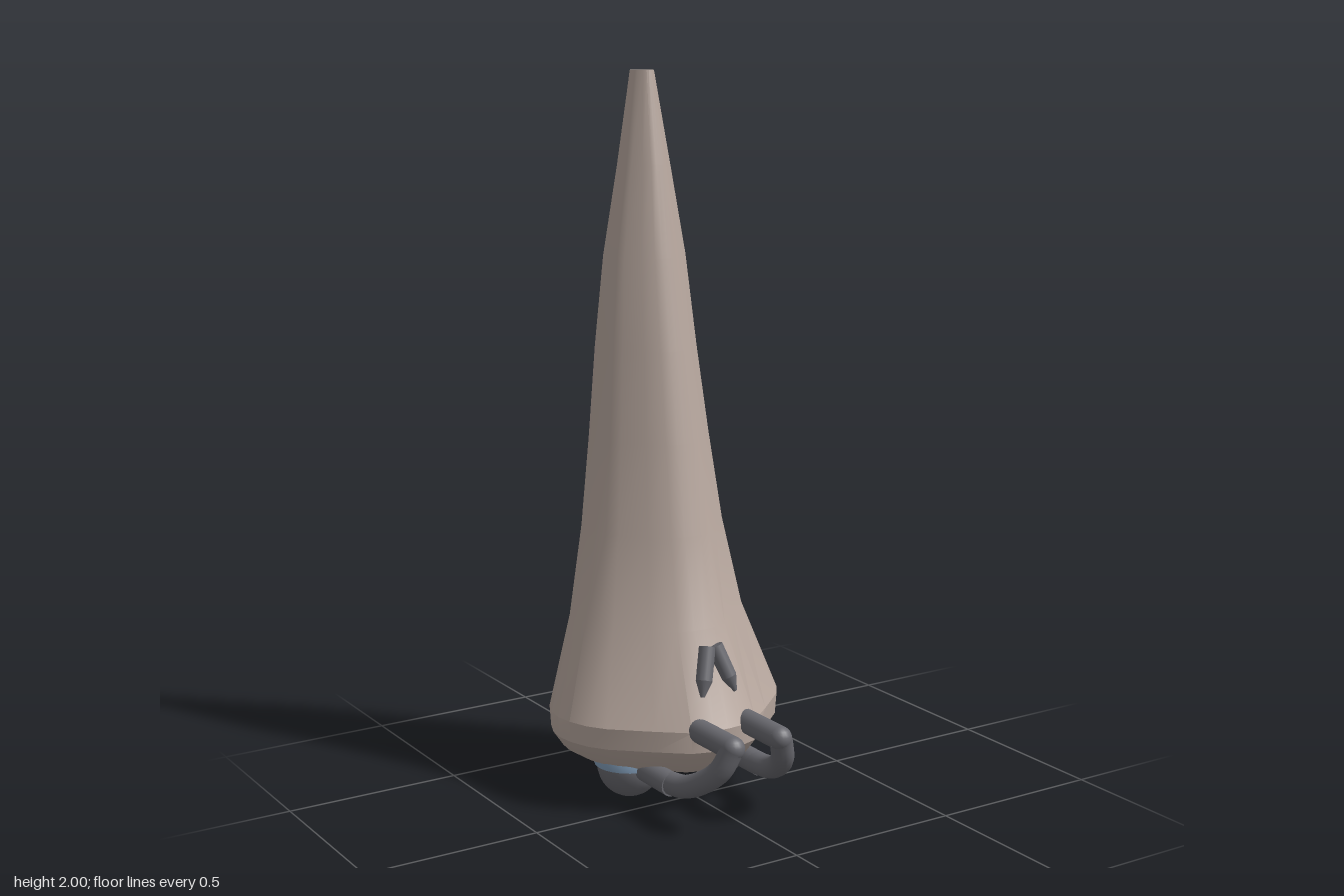
import * as THREE from 'three';
import { toCreasedNormals } from 'three/addons/utils/BufferGeometryUtils.js';

const shell = new THREE.MeshStandardMaterial({ color: 0xb8a89f });
const dark = new THREE.MeshStandardMaterial({ color: 0x68686e });
const blue = new THREE.MeshStandardMaterial({ color: 0x7f9ab5 });

// Body levels: height, half width, back z, front z, depth of the rear groove
const LEVELS = [
  [0.11, 0.255, -0.34, 0.10, 0.05],
  [0.14, 0.30, -0.343, 0.135, 0.05],
  [0.19, 0.338, -0.345, 0.172, 0.05],
  [0.25, 0.343, -0.345, 0.175, 0.05],
  [0.5, 0.257, -0.343, 0.056, 0.045],
  [0.75, 0.207, -0.342, -0.002, 0.035],
  [1.0, 0.174, -0.341, -0.045, 0.025],
  [1.25, 0.146, -0.34, -0.087, 0.014],
  [1.5, 0.119, -0.322, -0.13, 0.02],
  [1.75, 0.075, -0.3, -0.172, 0.016],
  [2.0, 0.032, -0.286, -0.216, 0.011],
];

// Half of the heart outline: x share, back-to-front share, groove share
const HEART = [
  [0, 0, 1], [0.05, 0, 0.75], [0.1, 0, 0.35], [0.17, 0, 0.08], [0.28, 0, 0],
  [0.55, 0.005, 0], [0.7, 0.035, 0], [0.83, 0.095, 0], [0.92, 0.17, 0],
  [0.98, 0.265, 0], [1, 0.36, 0], [0.98, 0.46, 0], [0.92, 0.57, 0],
  [0.82, 0.665, 0], [0.53, 0.835, 0], [0.3, 0.96, 0], [0.13, 0.995, 0], [0, 1, 0],
];

function bodyGeometry() {
  const outline = [...HEART, ...HEART.slice(1, -1).reverse().map(([x, t, g]) => [-x, t, g])];
  const n = outline.length, pos = [], idx = [];
  for (const [y, w, back, front, groove] of LEVELS)
    for (const [x, t, g] of outline)
      pos.push(x * w, y, back + t * (front - back) + g * groove);

  for (let i = 0; i < LEVELS.length - 1; i++)
    for (let j = 0; j < n; j++) {
      const a = i * n + j, b = i * n + (j + 1) % n;
      idx.push(a, a + n, b, b, a + n, b + n);
    }

  // Flat caps at the base and the tip
  const last = LEVELS.length - 1;
  for (const i of [0, last]) {
    const [y, , back, front] = LEVELS[i], c = pos.length / 3;
    pos.push(0, y, back + 0.4 * (front - back));
    for (let j = 0; j < n; j++) {
      const a = i * n + j, b = i * n + (j + 1) % n;
      if (i === 0) idx.push(c, a, b);
      else idx.push(c, b, a);
    }
  }
  const geo = new THREE.BufferGeometry();
  geo.setAttribute('position', new THREE.Float32BufferAttribute(pos, 3));
  geo.setIndex(idx);
  return toCreasedNormals(geo, 0.45);
}

function add(parent, name, geometry, material, position = [0, 0, 0]) {
  const mesh = new THREE.Mesh(geometry, material);
  mesh.name = name;
  mesh.position.set(...position);
  parent.add(mesh);
  return mesh;
}

// Cylinder running from point a to point b
function rod(parent, name, a, b, rA, rB = rA) {
  const from = new THREE.Vector3(...a), to = new THREE.Vector3(...b);
  const dir = to.clone().sub(from);
  const mesh = add(parent, name, new THREE.CylinderGeometry(rB, rA, dir.length(), 20), dark);
  mesh.position.copy(from).add(to).multiplyScalar(0.5);
  mesh.quaternion.setFromUnitVectors(new THREE.Vector3(0, 1, 0), dir.normalize());
  return mesh;
}

export function createModel() {
  const model = new THREE.Group();
  model.name = 'model';
  add(model, 'body', bodyGeometry(), shell);

  for (const [side, s] of [['left', 1], ['right', -1]]) {
    // Ball under the base, seated in a blue socket
    add(model, side + 'Ball', new THREE.SphereGeometry(0.092, 24, 16), dark, [s * 0.145, 0.092, -0.105]);
    add(model, side + 'Socket', new THREE.SphereGeometry(0.1, 24, 8, 0, Math.PI * 2, 0, Math.PI / 2),
      blue, [s * 0.145, 0.098, -0.105]).material.side = THREE.DoubleSide;

    // Pipe from the ball, bending up and back into the body
    const pipe = new THREE.Group();
    pipe.name = side + 'Pipe';
    model.add(pipe);
    rod(pipe, 'lowerPipe', [s * 0.145, 0.1, -0.06], [s * 0.145, 0.1, 0.118], 0.033);
    const bend = new THREE.CatmullRomCurve3([
      [0.143, 0.1, 0.1], [0.138, 0.112, 0.175], [0.122, 0.143, 0.24],
      [0.1, 0.188, 0.29], [0.078, 0.25, 0.312],
    ].map(([x, y, z]) => new THREE.Vector3(s * x, y, z)));
    add(pipe, 'bend', new THREE.TubeGeometry(bend, 20, 0.032, 16), dark);
    add(pipe, 'elbow', new THREE.SphereGeometry(0.033, 20, 12), dark, [s * 0.076, 0.25, 0.311]);
    rod(pipe, 'upperPipe', [s * 0.076, 0.25, 0.311], [s * 0.076, 0.25, 0.1], 0.033);

    // One leg of the small chevron on the front, with a pointed end
    const chevron = new THREE.Group();
    chevron.name = side + 'Chevron';
    model.add(chevron);
    rod(chevron, 'chevronArm', [s * 0.012, 0.46, 0.088], [s * 0.04, 0.375, 0.115], 0.023);
    rod(chevron, 'chevronTip', [s * 0.04, 0.375, 0.115], [s * 0.053, 0.335, 0.128], 0.023, 0.006);
  }
  return model;
}
